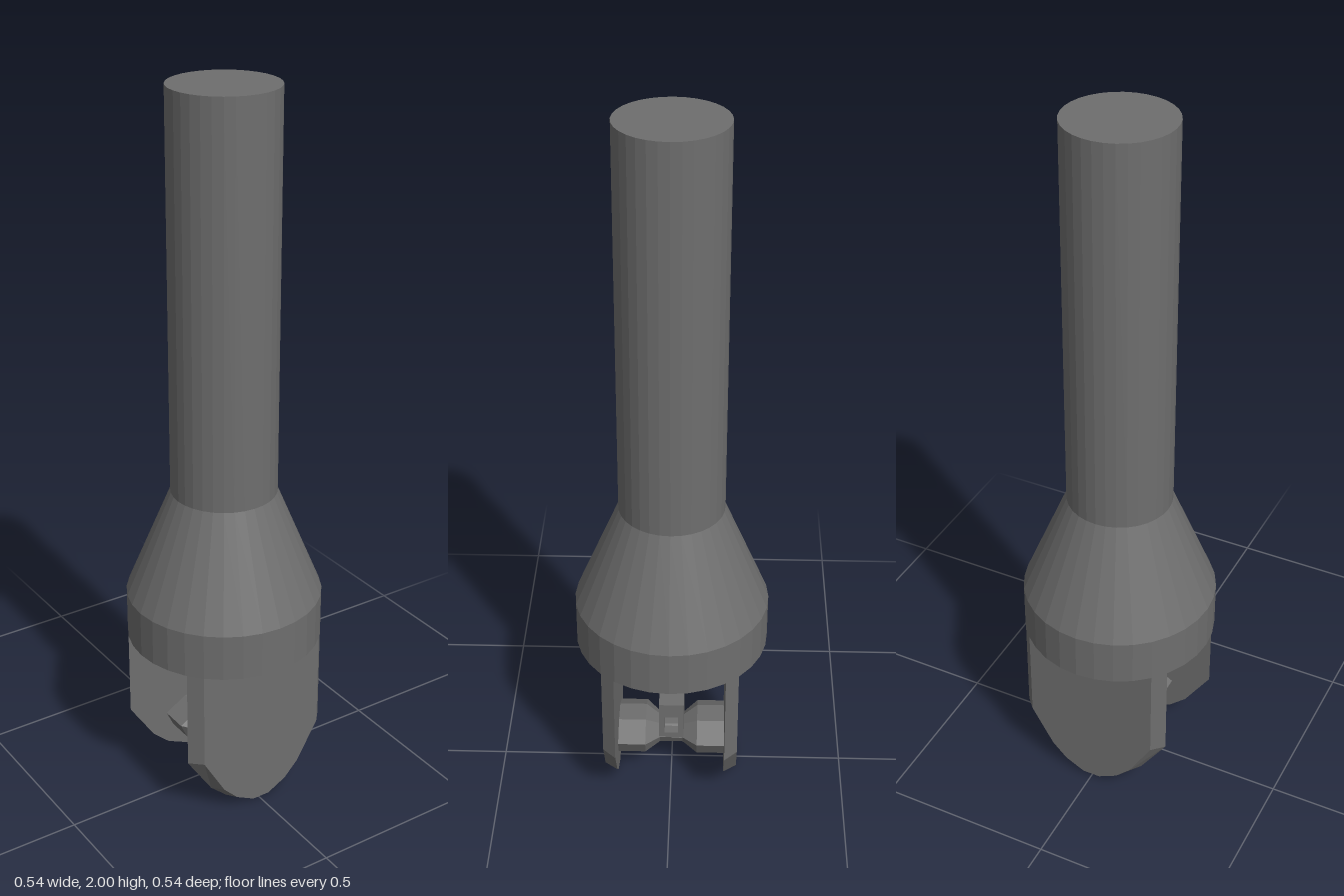
import * as THREE from 'three';

const material = new THREE.MeshStandardMaterial({ color: 0x6e6e6e, flatShading: true });

function part(name, geometry, parent) {
  const mesh = new THREE.Mesh(geometry, material);
  mesh.name = name;
  parent.add(mesh);
  return mesh;
}

const vectors = (points) => points.map(([x, y]) => new THREE.Vector2(x, y));

// Closed outline from its right half, listed top to bottom
const mirrored = (half) => vectors([...half, ...half.map(([x, y]) => [-x, y]).reverse()]);

// Rounded fork plate whose outer face is narrower than its inner face
function cheekGeometry() {
  const shape = new THREE.Shape(mirrored(
    [[0.221, 0.475], [0.221, 0.19], [0.145, 0.075], [0.095, 0.03], [0.03, 0]]));
  const geometry = new THREE.ExtrudeGeometry(shape, { depth: 0.036, bevelEnabled: false });
  const pos = geometry.attributes.position;
  for (let i = 0; i < pos.count; i++) {
    if (pos.getZ(i) < 0.01) continue;
    pos.setX(i, pos.getX(i) * 0.86);
    if (pos.getY(i) < 0.4) pos.setY(i, 0.01 + pos.getY(i) * 0.97);
  }
  geometry.translate(0, 0, 0.154);
  geometry.computeVertexNormals();
  return geometry;
}

// Wide cross pin: one cross-section scaled along z to form a narrow waist
function pinGeometry() {
  const section = mirrored([[0.035, 0.06], [0.1, 0.022], [0.078, -0.025], [0.035, -0.058]]);
  const stations = [[-0.156, 1], [-0.075, 1], [-0.033, 0.56], [0.033, 0.56], [0.075, 1], [0.156, 1]];
  const n = section.length;
  const positions = [];
  const indices = [];
  stations.forEach(([z, scale], s) => {
    section.forEach((p, i) => {
      positions.push(p.x * scale, p.y * scale, z);
      if (s === 0) return;
      const a = (s - 1) * n + i;
      const b = (s - 1) * n + (i + 1) % n;
      indices.push(a, a + n, b, b, a + n, b + n);
    });
  });
  const geometry = new THREE.BufferGeometry();
  geometry.setAttribute('position', new THREE.Float32BufferAttribute(positions, 3));
  geometry.setIndex(indices);
  geometry.computeVertexNormals();
  return geometry;
}

export function createModel() {
  const model = new THREE.Group();
  model.name = 'forkedRod';

  // Shaft, flared shoulder and collar
  part('shaftAndCollar', new THREE.LatheGeometry(vectors([
    [0, 0.475], [0.27, 0.475], [0.27, 0.607], [0.145, 0.91], [0.145, 2], [0, 2],
  ]), 32), model);

  // Fork plates, front and back
  const cheek = cheekGeometry();
  part('frontPlate', cheek, model);
  part('backPlate', cheek, model).rotation.y = Math.PI;

  // Pin between the plates
  part('crossPin', pinGeometry(), model).position.y = 0.11;

  // Loop standing on the waist of the pin, open along x
  const loop = new THREE.Shape(vectors(
    [[-0.036, 0.12], [0.036, 0.12], [0.036, 0.245], [-0.036, 0.245]]));
  loop.holes.push(new THREE.Path(vectors(
    [[-0.02, 0.14], [-0.02, 0.198], [0.02, 0.198], [0.02, 0.14]])));
  const loopGeometry = new THREE.ExtrudeGeometry(loop, { depth: 0.11, bevelEnabled: false });
  loopGeometry.translate(0, 0, -0.055).rotateY(Math.PI / 2);
  part('pinLoop', loopGeometry, model);

  return model;
}
